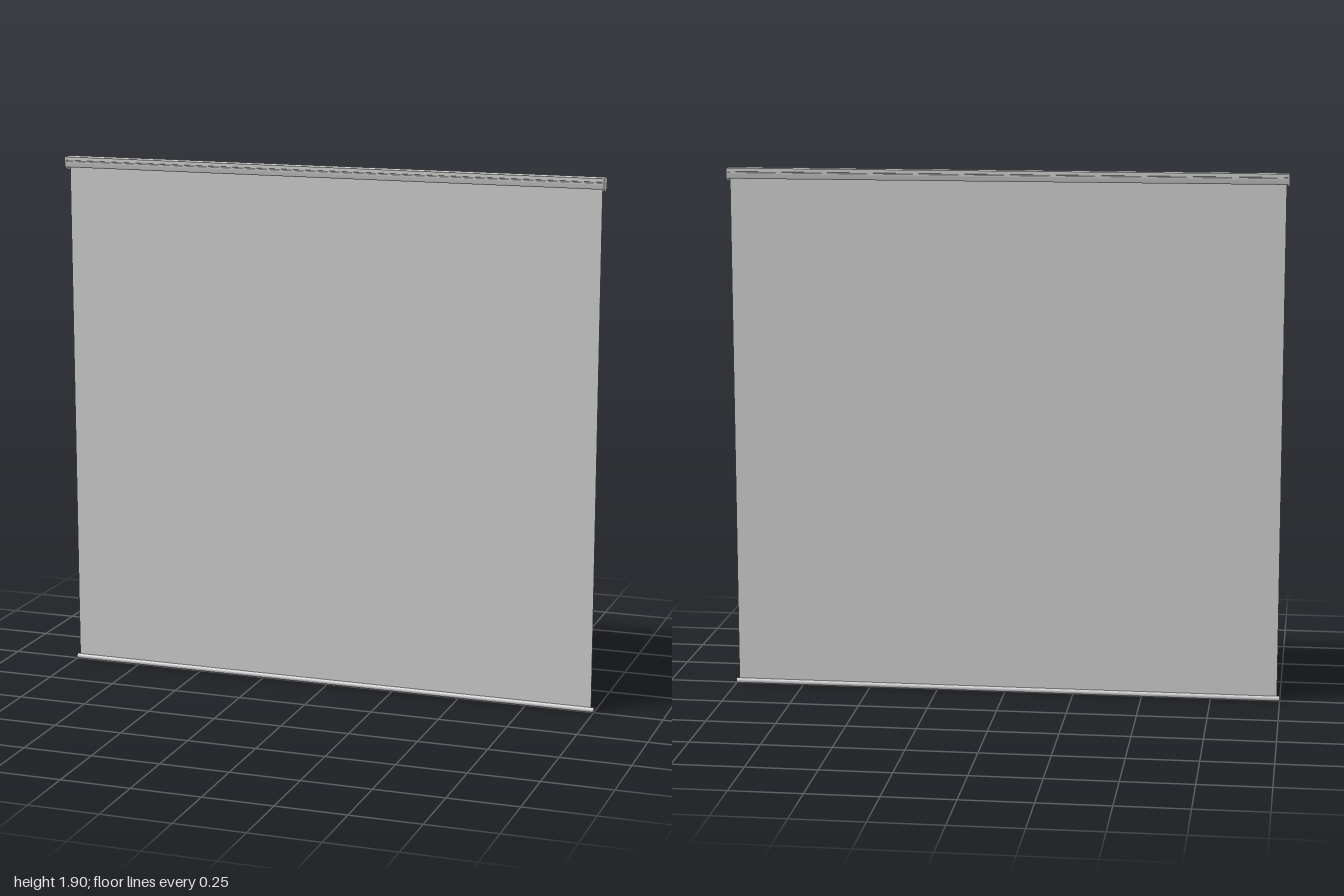
import * as THREE from 'three';
import { toCreasedNormals } from 'three/addons/utils/BufferGeometryUtils.js';

const TOP = 1.904, MID = 1.88, R = 0.024, WALL = 0.003;
const CAP = 0.006; // end cap thickness

export function createModel() {
  const group = new THREE.Group();
  const material = new THREE.MeshStandardMaterial({ color: 0xcccccc });
  const add = (name, geometry, x = 0, y = 0, z = 0) => {
    const mesh = new THREE.Mesh(geometry, material);
    mesh.name = name;
    mesh.position.set(x, y, z);
    group.add(mesh);
    return mesh;
  };

  // Extrude a z-y section along x, centred on x = 0
  const alongX = (shape, length) => {
    const g = new THREE.ExtrudeGeometry(shape, { depth: length, bevelEnabled: false, curveSegments: 16 });
    g.translate(0, 0, -length / 2).rotateY(Math.PI / 2);
    return toCreasedNormals(g, 0.6);
  };
  const rod = (radius, length) => new THREE.CylinderGeometry(radius, radius, length, 24).rotateZ(Math.PI / 2);

  // Housing: flat top, grooved sides, rounded lips and an open slot underneath
  const lip = 0.62; // angle at which the lips end
  const inner = R - WALL;
  const body = new THREE.Shape();
  body.moveTo(-R, TOP);
  body.lineTo(-R, 1.892);
  body.lineTo(-R + 0.0015, 1.891);
  body.lineTo(-R + 0.0015, 1.889);
  body.lineTo(-R, 1.888);
  body.lineTo(-R, MID);
  body.absarc(0, MID, R, Math.PI, Math.PI + lip, false);
  body.absarc(0, MID, inner, Math.PI + lip, Math.PI, true);
  body.lineTo(-inner, TOP - WALL);
  body.lineTo(inner, TOP - WALL);
  body.lineTo(inner, MID);
  body.absarc(0, MID, inner, 0, -lip, true);
  body.absarc(0, MID, R, -lip, 0, false);
  body.lineTo(R, 1.888);
  body.lineTo(R - 0.0015, 1.889);
  body.lineTo(R - 0.0015, 1.891);
  body.lineTo(R, 1.892);
  body.lineTo(R, TOP);
  body.closePath();
  add('housing', alongX(body, 2 - 2 * CAP));

  // Solid end caps closing the housing
  const cap = new THREE.Shape();
  cap.moveTo(R, TOP);
  cap.lineTo(-R, TOP);
  cap.lineTo(-R, MID);
  cap.absarc(0, MID, R, Math.PI, Math.PI * 2, false);
  cap.closePath();
  for (const side of [1, -1]) {
    add(side > 0 ? 'leftEndCap' : 'rightEndCap', alongX(cap, CAP), side * (1 - CAP / 2));
  }

  // Roller inside the housing and the sheet hanging from it
  add('roller', rod(0.012, 2 - 2 * CAP), 0, 1.882, 0);
  add('screenSheet', new THREE.BoxGeometry(1.98, 1.87, 0.002), 0, 0.945, -0.002);

  // Weight bar along the bottom hem
  add('bottomBar', toCreasedNormals(rod(0.009, 2), 0.6), 0, 0.009, -0.002);

  return group;
}
